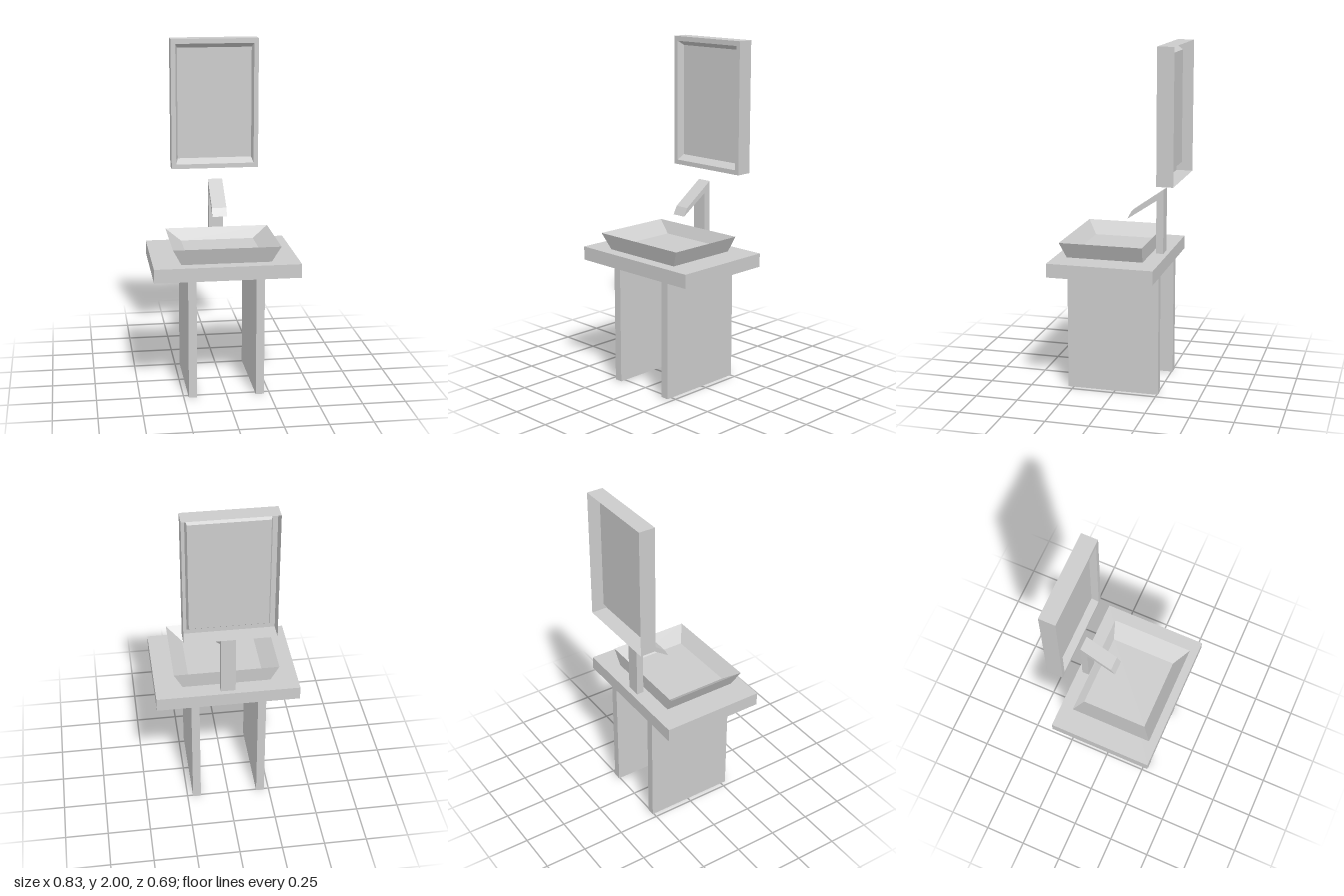
import * as THREE from 'three';

const material = new THREE.MeshStandardMaterial({ color: 0xcccccc, flatShading: true, side: THREE.DoubleSide });

// Skin over stacked rectangles [x0, x1, z0, z1, y]; the last one is closed, the first stays open.
function loft(rects) {
  const rings = rects.map(([x0, x1, z0, z1, y]) => [[x0, y, z1], [x1, y, z1], [x1, y, z0], [x0, y, z0]]);
  const positions = [];
  const quad = (a, b, c, d) => positions.push(...a, ...b, ...c, ...a, ...c, ...d);
  for (let r = 0; r < rings.length - 1; r++) {
    const lower = rings[r], upper = rings[r + 1];
    for (let i = 0; i < 4; i++) {
      const j = (i + 1) % 4;
      quad(lower[i], lower[j], upper[j], upper[i]);
    }
  }
  quad(...rings[rings.length - 1]);
  const geometry = new THREE.BufferGeometry();
  geometry.setAttribute('position', new THREE.Float32BufferAttribute(positions, 3));
  geometry.computeVertexNormals();
  return geometry;
}

export function createModel() {
  const group = new THREE.Group();
  const add = (name, geometry) => {
    const mesh = new THREE.Mesh(geometry, material);
    mesh.name = name;
    group.add(mesh);
    return mesh;
  };

  // Countertop, hollow underneath
  add('countertop', loft([
    [-0.417, 0.417, -0.27, 0.343, 0.715],
    [-0.417, 0.417, -0.27, 0.343, 0.795],
  ]));

  // Two upright support panels
  for (const [name, x] of [['rightSupport', -0.197], ['leftSupport', 0.193]]) {
    add(name, loft([
      [x - 0.024, x + 0.024, -0.257, 0.282, 0],
      [x - 0.024, x + 0.024, -0.257, 0.282, 0.793],
    ]));
  }

  // Basin: flared outside, sharp rim, sloping inside and floor
  add('basin', loft([
    [-0.257, 0.257, -0.173, 0.272, 0.795],
    [-0.306, 0.306, -0.181, 0.303, 0.89],
    [-0.216, 0.216, -0.151, 0.236, 0.82],
  ]));

  // Faucet: side profile (z, y) extruded across its width
  const profile = new THREE.Shape([
    [-0.242, 0.795], [-0.2, 0.795], [-0.2, 1.105], [-0.028, 0.99], [-0.053, 1.037], [-0.242, 1.17],
  ].map(([z, y]) => new THREE.Vector2(z, y)));
  const faucet = new THREE.ExtrudeGeometry(profile, { depth: 0.086, bevelEnabled: false });
  faucet.rotateY(-Math.PI / 2).translate(0.043, 0, 0);
  add('faucet', faucet);

  // Mirror: open-backed frame, front border, tapered reveal and recessed pane
  const mirror = loft([
    [-0.257, 0.261, -2, -1.233, -0.346],
    [-0.257, 0.261, -2, -1.233, -0.25],
    [-0.23, 0.234, -1.972, -1.26, -0.25],
    [-0.217, 0.225, -1.946, -1.29, -0.29],
  ]);
  mirror.rotateX(Math.PI / 2);
  add('mirror', mirror);

  return group;
}
